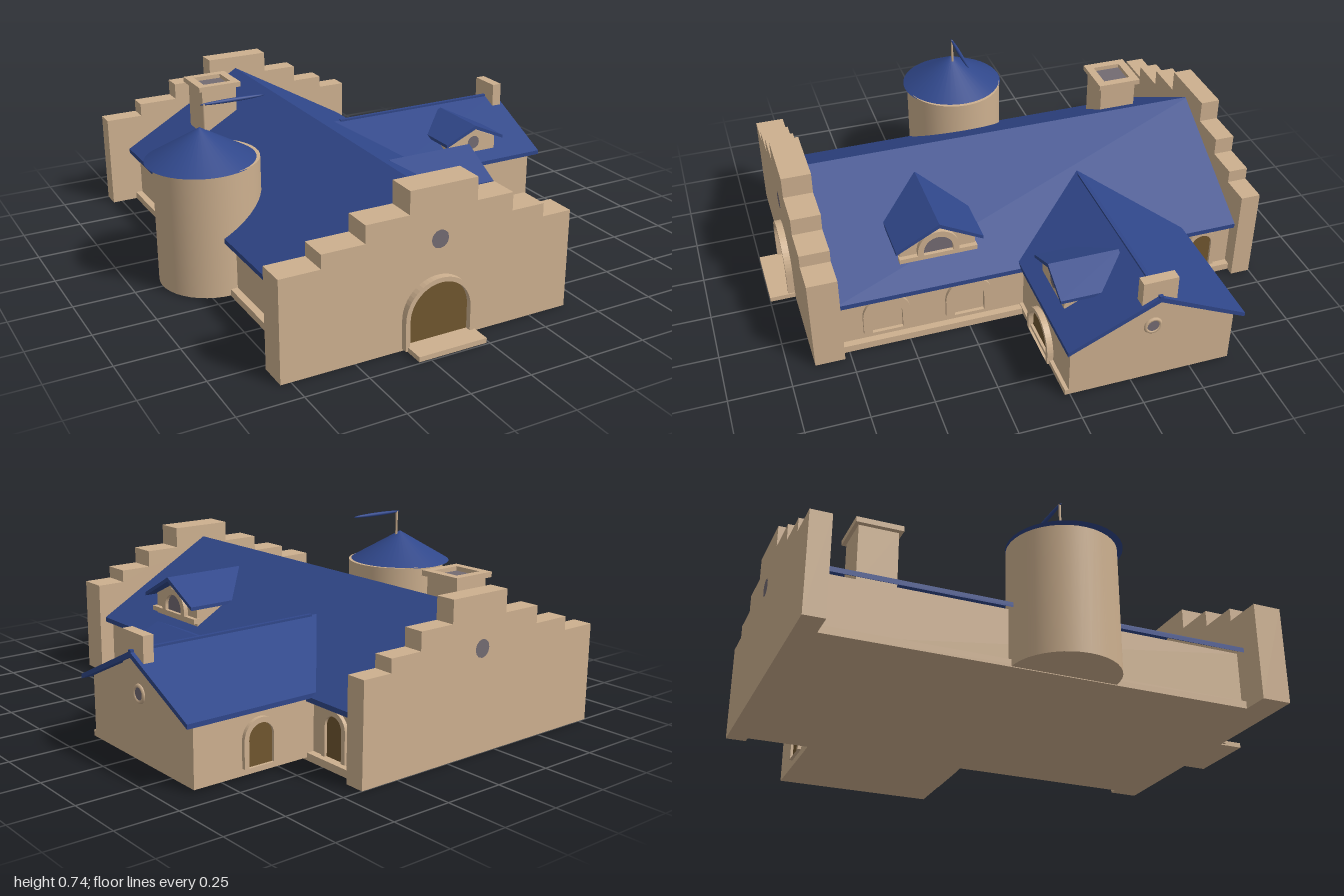
import * as THREE from 'three';

const mat = (name, color, side = THREE.FrontSide) => {
  const m = new THREE.MeshStandardMaterial({ color, side });
  m.name = name;
  return m;
};

export function createModel() {
  const plaster = mat('plaster', 0xcdb08f);
  const tiles = mat('roofTiles', 0x30478a);
  const wood = mat('wood', 0x70562f);
  const glass = mat('glass', 0x736b72);
  const model = new THREE.Group();
  model.name = 'stationHouse';

  const add = (parent, name, geo, material, x = 0, y = 0, z = 0) => {
    const m = new THREE.Mesh(geo, material);
    m.name = name;
    m.position.set(x, y, z);
    parent.add(m);
    return m;
  };
  // Box given by its limits
  const block = (parent, name, material, x0, x1, y0, y1, z0, z1) =>
    add(parent, name, new THREE.BoxGeometry(x1 - x0, y1 - y0, z1 - z0), material,
      (x0 + x1) / 2, (y0 + y1) / 2, (z0 + z1) / 2);
  const group = (name, x, y, z, turn = 0) => {
    const g = new THREE.Group();
    g.name = name;
    g.position.set(x, y, z);
    g.rotation.y = turn;
    model.add(g);
    return g;
  };
  // Outline in x and y, pulled from z0 to z1
  const prism = (parent, name, material, points, z0, z1) => {
    const shape = new THREE.Shape(points.map(([x, y]) => new THREE.Vector2(x, y)));
    const geo = new THREE.ExtrudeGeometry(shape, { depth: z1 - z0, bevelEnabled: false });
    return add(parent, name, geo, material, 0, 0, z0);
  };
  // Two sloping roof slabs meeting at a ridge
  const roof = (parent, name, half, eave, ridge, t, z0, z1) =>
    prism(parent, name, tiles, [[-half, eave], [-half, eave - t], [0, ridge - t * 1.2],
      [half, eave - t], [half, eave], [0, ridge]], z0, z1);
  // House-shaped wall body
  const body = (parent, name, half, base, eave, ridge, z0, z1) =>
    prism(parent, name, plaster, [[-half, base], [half, base], [half, eave],
      [0, ridge], [-half, eave]], z0, z1);

  const archPath = (P, w, h) => {
    const p = new P(), r = w / 2;
    p.moveTo(-r, 0);
    p.lineTo(r, 0);
    p.lineTo(r, h - r);
    p.absarc(0, h - r, r, 0, Math.PI, false);
    p.lineTo(-r, 0);
    return p;
  };
  // Arched surround, with an inner panel
  const arch = (name, w, h, rim, depth, panel, x, y, z, turn = 0) => {
    const g = group(name, x, y, z, turn);
    const frame = archPath(THREE.Shape, w, h);
    frame.holes.push(archPath(THREE.Path, w - rim * 2, h - rim));
    add(g, name + 'Frame', new THREE.ExtrudeGeometry(frame,
      { depth, bevelEnabled: false, curveSegments: 14 }), plaster);
    if (panel) {
      add(g, name + 'Panel', new THREE.ShapeGeometry(
        archPath(THREE.Shape, w - rim * 2, h - rim), 14), panel, 0, 0, 0.004);
    }
    return g;
  };
  // Small round window, thin disc with a rim
  const roundWindow = (name, r, x, y, z, turn = 0, rim = false) => {
    const g = group(name, x, y, z, turn);
    add(g, name + 'Glass', new THREE.CircleGeometry(r, 12), glass, 0, 0, 0.004);
    if (rim) add(g, name + 'Rim', new THREE.TorusGeometry(r, 0.008, 6, 16), plaster);
  };

  // Main hall
  const cx = -0.15;
  const hall = group('mainHall', cx, 0, 0);
  body(hall, 'hallWalls', 0.5, 0, 0.245, 0.525, -0.93, 0.79);
  const hallRoof = roof(hall, 'hallRoof', 0.542, 0.25, 0.56, 0.02, -0.93, 0.79);
  hallRoof.position.x = -0.005;
  block(hall, 'hallPlinth', plaster, -0.53, 0.53, 0, 0.03, -0.93, 0.79);

  // Stepped gable walls at front and back
  const steps = [[-0.79, 0], [0.415, 0], [0.415, 0.4], [0.29, 0.4], [0.29, 0.453], [0.15, 0.453],
    [0.15, 0.525], [-0.005, 0.525], [-0.005, 0.615], [-0.285, 0.615], [-0.285, 0.525],
    [-0.46, 0.525], [-0.46, 0.455], [-0.63, 0.455], [-0.63, 0.4], [-0.79, 0.4]];
  prism(model, 'frontGable', plaster, steps, 0.775, 0.895);
  prism(model, 'backGable', plaster, steps, -1, -0.918);
  roundWindow('frontGableWindow', 0.036, -0.16, 0.41, 0.895);
  roundWindow('backGableWindow', 0.036, -0.16, 0.41, -1, Math.PI);

  // Front entrance
  arch('frontDoor', 0.29, 0.26, 0.018, 0.028, wood, -0.165, 0.01, 0.895);
  block(model, 'frontStep', plaster, -0.3, -0.015, 0.005, 0.025, 0.89, 1);

  // Arches on the right-hand court side
  for (const z of [0.585, 0.245]) {
    arch('sideWindow', 0.195, 0.175, 0.035, 0.015, null, 0.35, 0.06, z, Math.PI / 2);
  }
  arch('sideDoor', 0.13, 0.185, 0.02, 0.015, wood, 0.35, 0.035, -0.785, Math.PI / 2);

  // Side wing, its ridge running out to +x
  const wing = group('sideWing', 0, 0, -0.325, Math.PI / 2);
  body(wing, 'wingWalls', 0.335, 0.012, 0.262, 0.415, 0.3, 0.88);
  roof(wing, 'wingRoof', 0.36, 0.265, 0.437, 0.018, 0.06, 0.92);
  block(wing, 'wingRidge', tiles, -0.008, 0.008, 0.42, 0.442, 0.09, 0.92);
  block(wing, 'wingChimney', plaster, -0.07, 0.07, 0.36, 0.505, 0.862, 0.905);
  roundWindow('wingWindow', 0.03, 0.88, 0.27, -0.32, Math.PI / 2, true);
  arch('wingFrontDoor', 0.24, 0.16, 0.018, 0.025, wood, 0.59, 0.02, 0.01);
  arch('wingBackDoor', 0.15, 0.18, 0.02, 0.015, wood, 0.6, 0.04, -0.66, Math.PI);
  block(model, 'wingStep', plaster, 0.35, 0.88, 0.012, 0.035, 0, 0.025);

  // Dormer on the hall roof, facing +x
  const hallDormer = group('hallDormer', 0, 0, 0.348, Math.PI / 2);
  body(hallDormer, 'hallDormerWalls', 0.155, 0.31, 0.4, 0.475, 0, 0.28);
  roof(hallDormer, 'hallDormerRoof', 0.178, 0.405, 0.502, 0.015, -0.05, 0.325);
  block(hallDormer, 'hallDormerSill', plaster, -0.16, 0.16, 0.325, 0.345, 0.27, 0.3);
  arch('hallDormerWindow', 0.17, 0.105, 0.025, 0.02, glass, 0.28, 0.342, 0.348, Math.PI / 2);

  // Dormer on the wing roof, facing +z
  const wingDormer = group('wingDormer', 0.595, 0, 0);
  body(wingDormer, 'wingDormerWalls', 0.12, 0.295, 0.352, 0.405, -0.25, -0.025);
  roof(wingDormer, 'wingDormerRoof', 0.147, 0.36, 0.427, 0.014, -0.29, 0);
  roundWindow('wingDormerWindow', 0.03, 0.6, 0.342, -0.025);

  // Round tower with cone roof and weather vane
  const tower = group('tower', -0.675, 0, 0);
  add(tower, 'towerWall', new THREE.CylinderGeometry(0.211, 0.211, 0.51, 40), plaster, 0, 0.258, 0);
  const cone = new THREE.ConeGeometry(0.222, 0.13, 40);
  add(tower, 'towerRoof', cone, tiles, -0.022, 0.575, 0);
  add(tower, 'vanePole', new THREE.CylinderGeometry(0.005, 0.005, 0.11, 8), plaster, 0, 0.675, 0);
  const vane = add(tower, 'vane', new THREE.SphereGeometry(1, 20, 8), tiles, 0.12, 0.728, 0);
  vane.scale.set(0.137, 0.008, 0.008);

  // Hall chimney with hollow cap
  const chimney = group('hallChimney', -0.38, 0, -0.655);
  block(chimney, 'chimneyStack', plaster, -0.08, 0.08, 0.33, 0.585, -0.08, 0.08);
  for (const s of [-1, 1]) {
    add(chimney, 'capSide', new THREE.BoxGeometry(0.035, 0.022, 0.19), plaster, s * 0.08, 0.598, 0);
    add(chimney, 'capEnd', new THREE.BoxGeometry(0.125, 0.022, 0.035), plaster, 0, 0.598, s * 0.0775);
  }
  block(chimney, 'chimneyFlue', glass, -0.063, 0.063, 0.585, 0.591, -0.06, 0.06);

  return model;
}
